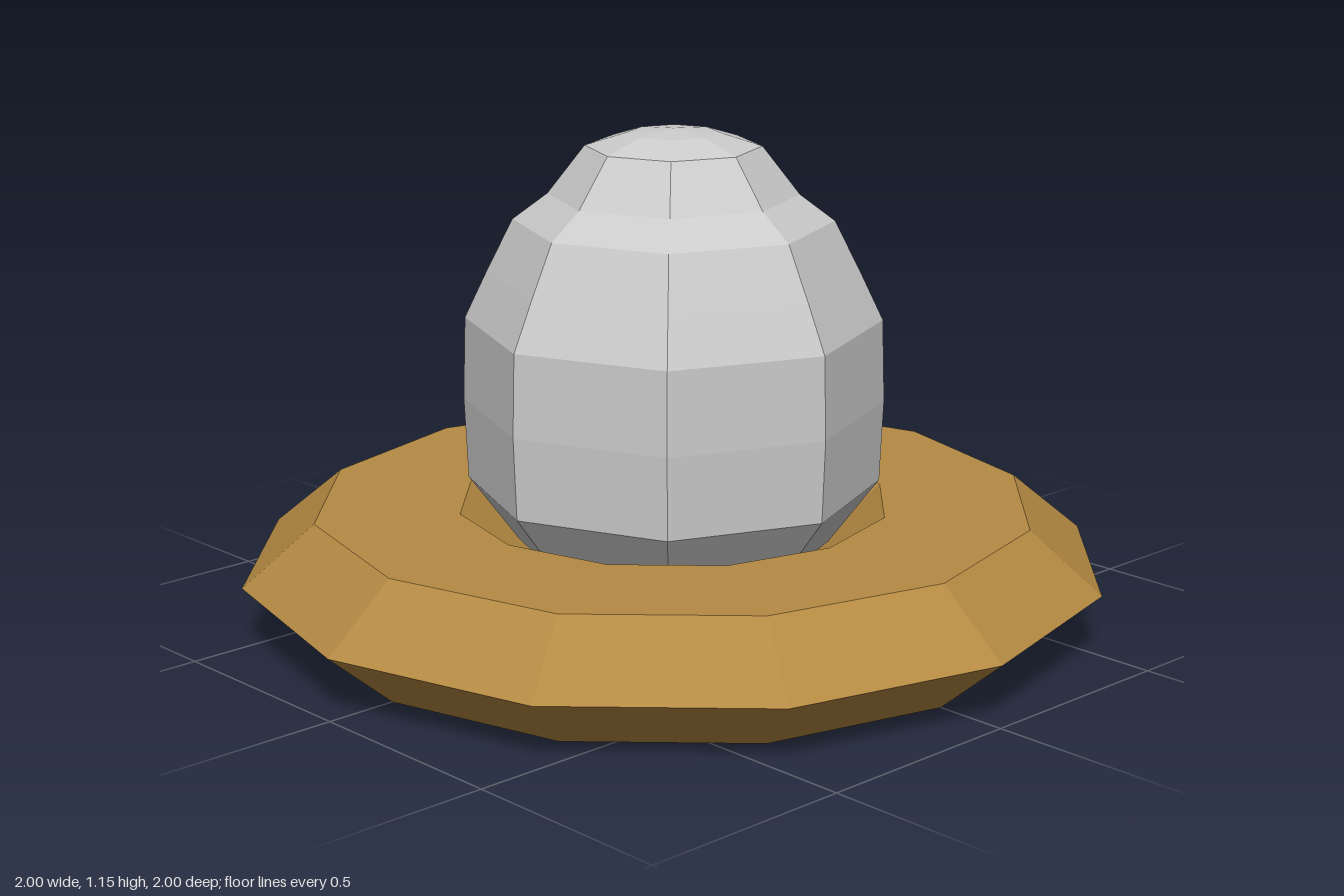
import * as THREE from 'three';

// Faceted material shared by both low-poly parts
function flat(color) {
  return new THREE.MeshStandardMaterial({ color, flatShading: true });
}

export function createModel() {
  const model = new THREE.Group();

  // Flattened ring base: 12 sides around, hexagonal section
  const ringGeometry = new THREE.TorusGeometry(2 / 3, 1 / 3, 6, 12);
  ringGeometry.rotateX(Math.PI / 2);
  ringGeometry.scale(1, 0.485, 1);
  ringGeometry.translate(0, 0.14, 0);
  const ring = new THREE.Mesh(ringGeometry, flat(0xb58a43));
  ring.name = 'ringBase';
  model.add(ring);

  // Egg resting in the ring: eight-sided profile from bottom to top
  const profile = [
    [0, 0.08], [0.19, 0.11], [0.36, 0.18], [0.475, 0.33], [0.483, 0.52],
    [0.477, 0.71], [0.425, 0.82], [0.365, 0.94], [0.285, 1.0],
    [0.2, 1.11], [0.105, 1.14], [0, 1.15],
  ].map(([r, y]) => new THREE.Vector2(r, y));
  const egg = new THREE.Mesh(new THREE.LatheGeometry(profile, 8), flat(0xcccccc));
  egg.name = 'egg';
  model.add(egg);

  return model;
}
